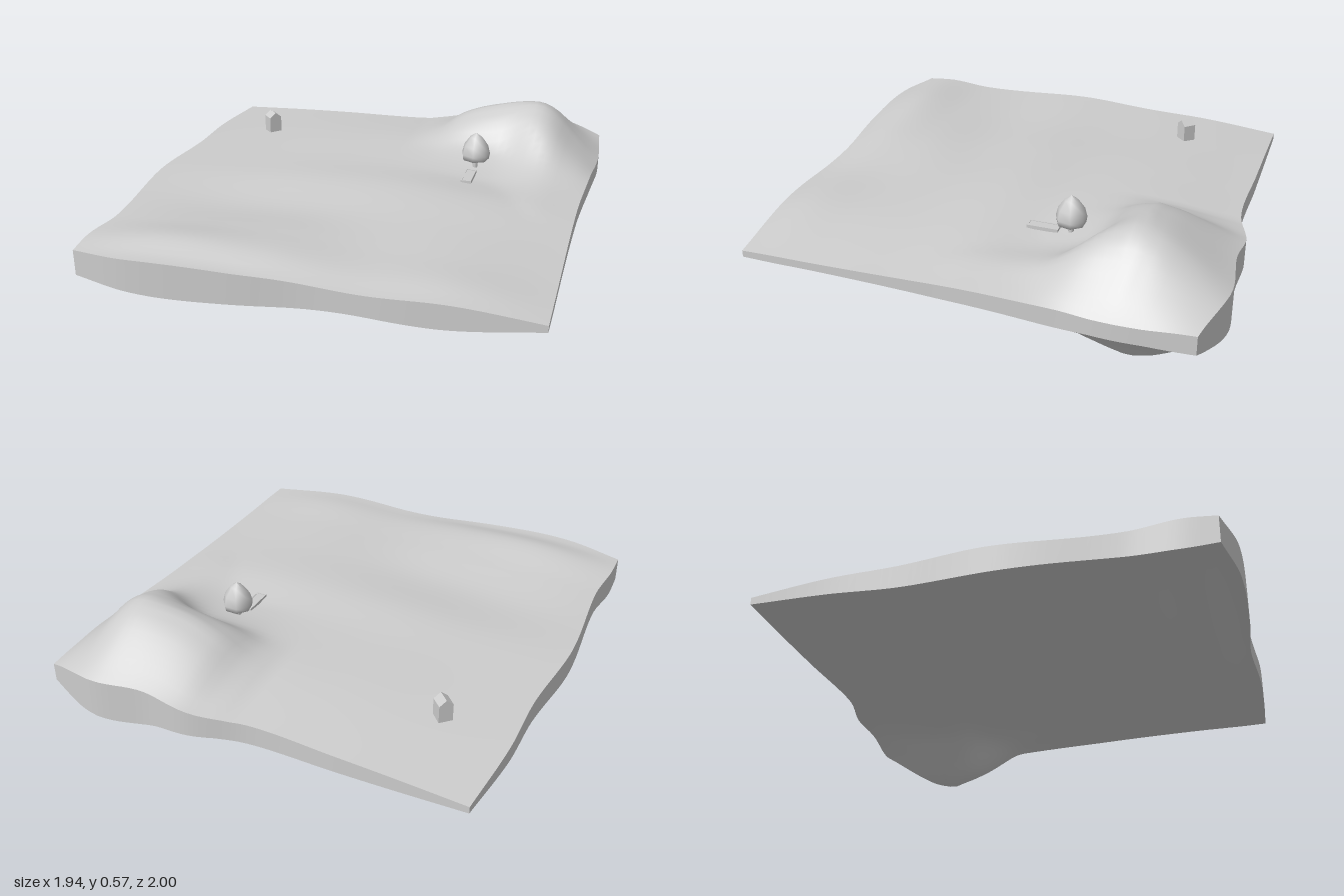
import * as THREE from 'three';

const stone = new THREE.MeshStandardMaterial({ color: 0xcccccc });
stone.name = 'light grey';

const MID = 0.29; // height of the middle plane of the slab
const SEG = 56;

// Smooth curve through [position, value] points
function curve(pts, t) {
  const n = pts.length - 1;
  if (t <= pts[0][0]) return pts[0][1];
  if (t >= pts[n][0]) return pts[n][1];
  let i = 0;
  while (t > pts[i + 1][0]) i++;
  const slope = (k) => {
    const a = pts[Math.max(k - 1, 0)], b = pts[Math.min(k + 1, n)];
    return (b[1] - a[1]) / (b[0] - a[0]);
  };
  const w = pts[i + 1][0] - pts[i][0], s = (t - pts[i][0]) / w;
  const s2 = s * s, s3 = s2 * s;
  return (2 * s3 - 3 * s2 + 1) * pts[i][1] + (s3 - 2 * s2 + s) * w * slope(i)
    + (3 * s2 - 2 * s3) * pts[i + 1][1] + (s3 - s2) * w * slope(i + 1);
}

// Wavy outline of the slab
const leftEdge = [[-0.95, -0.92], [-0.6, -0.945], [-0.3, -0.94], [0.1, -0.97], [0.6, -0.93], [0.8, -0.945], [0.95, -0.94]];
const rightEdge = [[-0.95, 0.945], [-0.65, 0.965], [-0.4, 0.95], [0, 0.93], [0.95, 0.932]];
const backEdge = [[-0.95, -0.918], [-0.4, -0.918], [0, -0.918], [0.25, -0.98], [0.45, -0.975], [0.7, -1], [0.95, -0.93]];
const frontEdge = [[-0.95, 0.95], [-0.7, 0.995], [-0.3, 0.985], [0, 0.96], [0.4, 0.97], [0.95, 0.94]];

// Gentle ground: half thickness, rows from back to front, columns from -x to +x
const knotsX = [-0.95, -0.57, -0.19, 0.19, 0.57, 0.95];
const ground = [
  [-0.95, [0.012, 0.03, 0.04, 0.045, 0.045, 0.035]],
  [-0.57, [0.035, 0.052, 0.07, 0.08, 0.055, 0.035]],
  [-0.19, [0.05, 0.06, 0.075, 0.075, 0.045, 0.032]],
  [0.06, [0.055, 0.065, 0.085, 0.09, 0.068, 0.028]],
  [0.36, [0.05, 0.048, 0.062, 0.072, 0.06, 0.02]],
  [0.62, [0.052, 0.075, 0.085, 0.065, 0.06, 0.015]],
  [0.82, [0.062, 0.106, 0.096, 0.062, 0.066, 0.014]],
  [0.95, [0.055, 0.075, 0.064, 0.045, 0.052, 0.012]],
];
// Hill: profiles across x above and below, and falloff behind and in front of its crest
const hillAbove = [[0.08, 0], [0.2, 0.2], [0.3, 0.52], [0.45, 0.8], [0.65, 1], [0.74, 0.88], [0.84, 0.46], [0.96, 0]];
const hillBelow = [[0.15, 0], [0.3, 0.1], [0.4, 0.25], [0.5, 0.58], [0.65, 1], [0.74, 0.88], [0.84, 0.46], [0.96, 0]];
const hillBack = [[0, 1], [0.12, 0.85], [0.37, 0.2]];
const hillFront = [[0, 1], [0.1, 0.75], [0.2, 0.27], [0.3, 0.1], [0.45, 0]];

function halfHeight(x, z, hill) {
  const base = curve(ground.map(([k, row]) => [k, curve(knotsX.map((q, j) => [q, row[j]]), x)]), z);
  const d = z + 0.63;
  const spread = 1 + 0.8 * THREE.MathUtils.smoothstep(x, 0.5, 0.8);
  const fall = d < 0 ? curve(hillBack, -d) : curve(hillFront, d / spread);
  return base + 0.238 * curve(hill, x) * fall;
}

// Point on the upper (side 1) or lower (side -1) surface for u, v in 0..1
function surface(u, v, side) {
  const a = -0.95 + 1.9 * u, b = -0.95 + 1.9 * v;
  const x = THREE.MathUtils.lerp(curve(leftEdge, b), curve(rightEdge, b), u);
  const z = THREE.MathUtils.lerp(curve(backEdge, a), curve(frontEdge, a), v);
  return [x, MID + side * halfHeight(x, z, side > 0 ? hillAbove : hillBelow), z];
}

// Grid of quads from a point function
function sheet(name, cols, rows, point) {
  const pos = [], index = [];
  for (let j = 0; j <= rows; j++)
    for (let i = 0; i <= cols; i++) pos.push(...point(i / cols, j / rows));
  for (let j = 0; j < rows; j++)
    for (let i = 0; i < cols; i++) {
      const a = j * (cols + 1) + i, b = a + 1, c = a + cols + 1, d = c + 1;
      index.push(a, c, b, b, c, d);
    }
  const geo = new THREE.BufferGeometry();
  geo.setAttribute('position', new THREE.Float32BufferAttribute(pos, 3));
  geo.setIndex(index);
  geo.computeVertexNormals();
  return part(name, geo);
}

function part(name, geo, x = 0, y = 0, z = 0) {
  const mesh = new THREE.Mesh(geo, stone);
  mesh.name = name;
  mesh.position.set(x, y, z);
  return mesh;
}

export function createModel() {
  const model = new THREE.Group();
  model.name = 'landscape';

  // Slab: upper ground, underside and four thin walls
  model.add(sheet('groundTop', SEG, SEG, (u, v) => surface(u, v, 1)));
  model.add(sheet('groundUnderside', SEG, SEG, (u, v) => surface(1 - u, v, -1)));
  const walls = {
    frontWall: (t) => [t, 1],
    rightWall: (t) => [1, 1 - t],
    backWall: (t) => [1 - t, 0],
    leftWall: (t) => [0, t],
  };
  for (const [name, edge] of Object.entries(walls))
    model.add(sheet(name, SEG, 1, (t, s) => surface(...edge(t), s ? -1 : 1)));

  // Tree: slim trunk with a pointed crown
  const tree = new THREE.Group();
  tree.name = 'tree';
  const profile = [[0, 0.41], [0.035, 0.392], [0.062, 0.4], [0.066, 0.425], [0.056, 0.465], [0.028, 0.505], [0, 0.525]]
    .map(([r, y]) => new THREE.Vector2(r, y));
  tree.add(part('treeCrown', new THREE.LatheGeometry(profile, 7)));
  tree.add(part('treeTrunk', new THREE.CylinderGeometry(0.011, 0.014, 0.12, 7), 0, 0.355, 0));
  tree.position.set(0.43, 0, -0.295);
  model.add(tree);

  // Low frame lying on the ground before the tree
  const frame = new THREE.Group();
  frame.name = 'groundFrame';
  frame.add(part('framePlate', new THREE.BoxGeometry(0.036, 0.012, 0.13)));
  for (const s of [-1, 1]) {
    frame.add(part('frameSide', new THREE.BoxGeometry(0.006, 0.016, 0.136), s * 0.021, 0, 0));
    frame.add(part('frameEnd', new THREE.BoxGeometry(0.048, 0.016, 0.006), 0, 0, s * 0.065));
  }
  frame.position.set(0.423, MID + halfHeight(0.42, -0.17, hillAbove) + 0.008, -0.175);
  model.add(frame);

  // Small gabled hut, turned to the corner
  const gable = new THREE.Shape([[-0.03, 0], [0.03, 0], [0.03, 0.078], [0, 0.102], [-0.03, 0.078]]
    .map(([x, y]) => new THREE.Vector2(x, y)));
  const hutGeo = new THREE.ExtrudeGeometry(gable, { depth: 0.06, bevelEnabled: false });
  hutGeo.translate(0, 0, -0.03);
  const hut = part('hut', hutGeo, -0.65, 0.338, -0.53);
  hut.rotation.y = Math.PI / 4;
  model.add(hut);

  return model;
}
